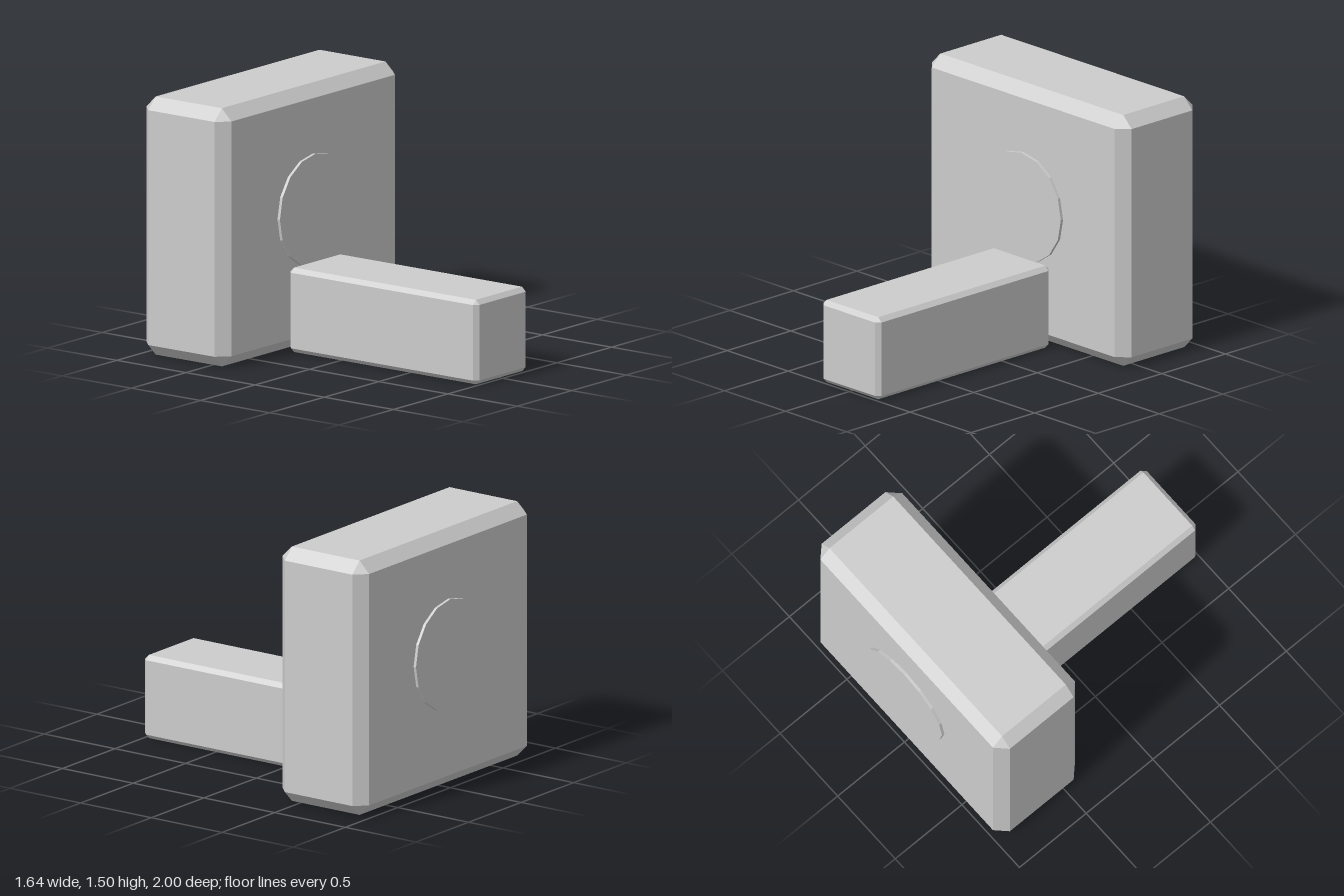
import * as THREE from 'three';
import { ConvexGeometry } from 'three/addons/geometries/ConvexGeometry.js';

// Box with chamfered edges and triangular corners, centred on its origin
function chamferBox(w, h, d, c) {
  const points = [];
  for (const sx of [-1, 1]) for (const sy of [-1, 1]) for (const sz of [-1, 1]) {
    const x = w / 2, y = h / 2, z = d / 2;
    points.push(
      new THREE.Vector3(sx * x, sy * (y - c), sz * (z - c)),
      new THREE.Vector3(sx * (x - c), sy * y, sz * (z - c)),
      new THREE.Vector3(sx * (x - c), sy * (y - c), sz * z)
    );
  }
  return new ConvexGeometry(points);
}

export function createModel() {
  const model = new THREE.Group();
  model.name = 'model';
  const grey = new THREE.MeshStandardMaterial({ color: 0xcccccc, flatShading: true });
  grey.name = 'light grey';

  const add = (name, geometry, x, y, z) => {
    const mesh = new THREE.Mesh(geometry, grey);
    mesh.name = name;
    mesh.position.set(x, y, z);
    model.add(mesh);
  };

  // Upright square slab at the back
  add('slab', chamferBox(1.636, 1.504, 0.614, 0.068), 0, 0.752, -0.676);

  // Low bar reaching forward from the slab
  add('bar', chamferBox(0.476, 0.492, 1.366, 0.026), 0, 0.246, 0.317);

  // Sixteen-sided hub passing through the slab, just proud on both faces
  const hub = new THREE.CylinderGeometry(0.327, 0.327, 0.649, 16).rotateX(Math.PI / 2);
  add('hub', hub, 0, 0.788, -0.6755);

  return model;
}
